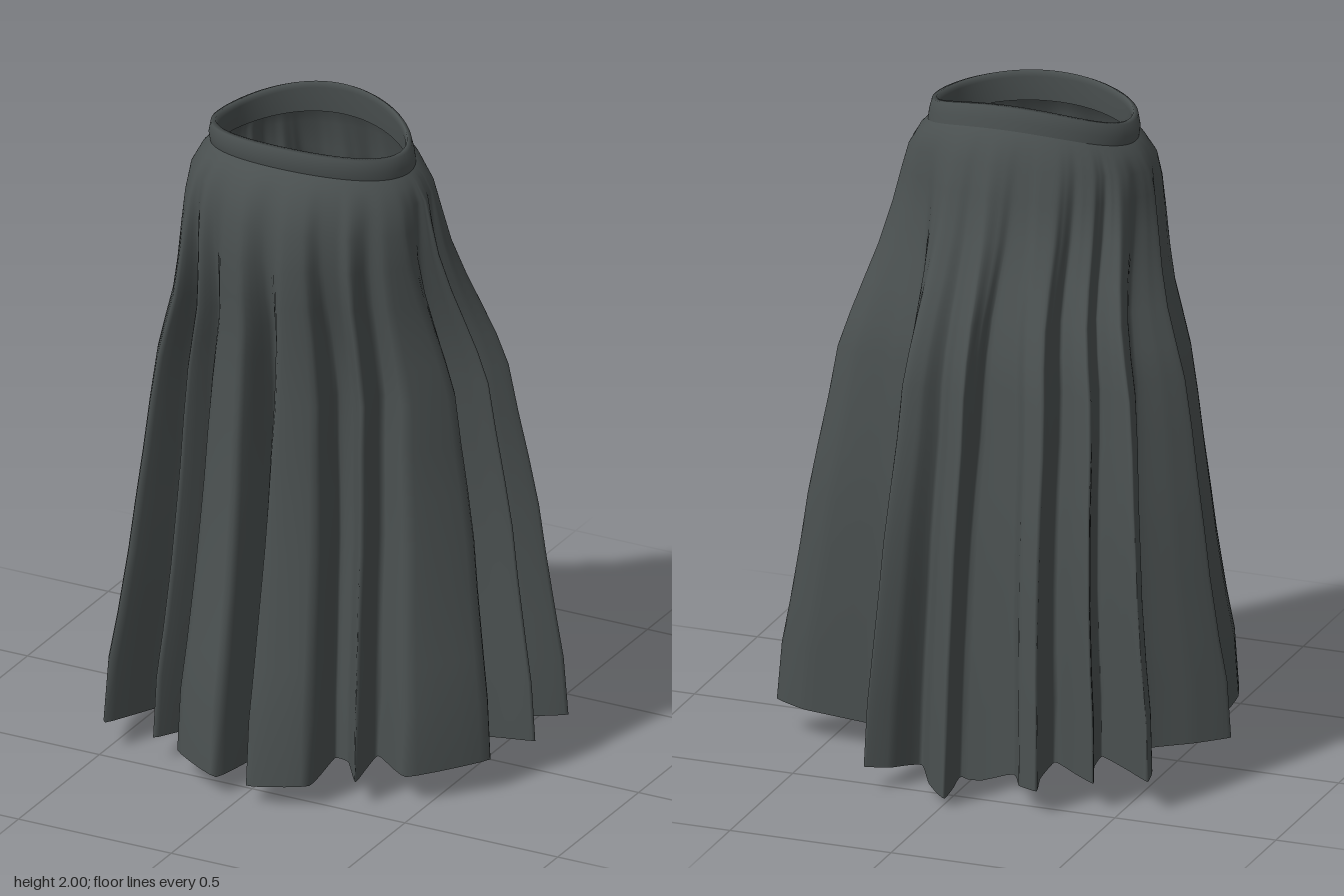
import * as THREE from 'three';

// Hem outline seen from above as x, z pairs: front notch, left side, back, right side
const HEM = [
  -0.02, 0.34, 0.03, 0.595, 0.205, 0.535, 0.18, 0.33,
  0.23, 0.34, 0.32, 0.465, 0.29, 0.27,
  0.44, 0.38, 0.61, 0.18, 0.48, 0.05, 0.36, 0.06,
  0.56, 0.03, 0.67, 0.015, 0.55, -0.05, 0.36, -0.02,
  0.38, -0.08, 0.57, -0.14, 0.67, -0.19, 0.57, -0.23, 0.36, -0.235, 0.22, -0.27,
  0.24, -0.45, 0.26, -0.55, 0.19, -0.51, 0.13, -0.42,
  0.07, -0.52, -0.01, -0.6, 0.01, -0.47, 0.03, -0.36,
  -0.15, -0.41, -0.21, -0.52, -0.28, -0.56, -0.25, -0.45, -0.24, -0.31,
  -0.34, -0.4, -0.42, -0.465, -0.37, -0.33, -0.36, -0.24,
  -0.48, -0.34, -0.57, -0.42, -0.55, -0.33, -0.45, -0.16,
  -0.58, -0.08, -0.67, -0.01, -0.55, -0.02, -0.41, -0.03,
  -0.53, 0.06, -0.575, 0.19, -0.56, 0.33, -0.5, 0.465, -0.39, 0.24,
  -0.34, 0.47, -0.25, 0.31, -0.245, 0.5, -0.07, 0.59,
];

// Rows: height, min x, max x, min z, max z, fold strength
const BAND = [
  [1.84, -0.32, 0.28, -0.11, 0.295, 0],
  [1.91, -0.31, 0.27, -0.1, 0.29, 0],
  [1.93, -0.315, 0.275, -0.103, 0.295, 0],
  [1.925, -0.33, 0.29, -0.112, 0.305, 0],
  [1.89, -0.337, 0.298, -0.12, 0.31, 0],
  [1.865, -0.335, 0.3, -0.124, 0.305, 0],
];
const SKIRT = [
  [1.865, -0.335, 0.3, -0.124, 0.305, 0],
  [1.84, -0.36, 0.325, -0.145, 0.33, 0],
  [1.79, -0.39, 0.357, -0.175, 0.365, 0.03],
  [1.72, -0.405, 0.375, -0.2, 0.39, 0.08],
  [1.62, -0.42, 0.395, -0.235, 0.405, 0.15],
  [1.5, -0.445, 0.42, -0.3, 0.405, 0.25],
  [1.4, -0.47, 0.45, -0.35, 0.405, 0.34],
  [1.3, -0.505, 0.48, -0.4, 0.408, 0.42],
  [1.2, -0.535, 0.51, -0.43, 0.415, 0.49],
  [1.05, -0.56, 0.53, -0.465, 0.43, 0.58],
  [0.9, -0.58, 0.555, -0.5, 0.45, 0.67],
  [0.75, -0.6, 0.58, -0.53, 0.475, 0.75],
  [0.6, -0.615, 0.6, -0.55, 0.505, 0.82],
  [0.4, -0.64, 0.63, -0.575, 0.545, 0.9],
  [0.22, -0.66, 0.655, -0.59, 0.58, 0.96],
  [0, -0.67, 0.67, -0.6, 0.6, 1],
];

// Point on a row's smooth oval; angle 0 faces the front
function oval([, x0, x1, z0, z1], a) {
  return [(x0 + x1) / 2 + Math.sin(a) * (x1 - x0) / 2, (z0 + z1) / 2 + Math.cos(a) * (z1 - z0) / 2];
}

// Sample the hem and give every sample a steadily increasing angle around the body
function sampleHem() {
  const points = [];
  for (let i = 0; i < HEM.length; i += 2) points.push(new THREE.Vector3(HEM[i], 0, HEM[i + 1]));
  const curve = new THREE.CatmullRomCurve3(points, true, 'catmullrom', 0.2);
  const n = points.length * 5, hem = [], raw = [];
  for (let i = 0; i < n; i++) {
    const p = curve.getPoint(i / n);
    let a = Math.atan2(p.x, p.z);
    if (i > 0) a -= Math.round((a - raw[i - 1]) / (2 * Math.PI)) * 2 * Math.PI;
    hem.push(p);
    raw.push(a);
  }
  const angles = raw.map((_, i) => {
    let sum = 0;
    for (let k = -12; k <= 12; k++) {
      const j = i + k, turn = Math.floor(j / n);
      sum += raw[j - turn * n] + turn * 2 * Math.PI;
    }
    return sum / 25;
  }).sort((a, b) => a - b);
  return { hem, angles };
}

// Loft closed rings through the rows
function loft(rows, { hem, angles }) {
  const n = hem.length, pos = [], index = [];
  const bottom = SKIRT[SKIRT.length - 1];
  rows.forEach((row, j) => {
    const w = row[5];
    for (let i = 0; i < n; i++) {
      const a = angles[i], c = Math.cos(a), h = hem[i];
      const [ex, ez] = oval(row, a), [bx, bz] = oval(bottom, a);
      // the waist rises at front and back
      const rise = c * c * (c > 0 ? 0.033 : 0.068) * THREE.MathUtils.smoothstep(row[0], 1.6, 1.92);
      // the hem is uneven and lowest at the back
      const drop = 0.055 + 0.045 * Math.abs(h.x) / 0.67
        - (h.z < 0 ? 0.055 * Math.exp(-((h.x / 0.12) ** 2)) * Math.min(1, 0.22 / Math.abs(h.z + 0.16)) : 0);
      const y = row[0] + rise + Math.max(0, drop) * (1 - THREE.MathUtils.smoothstep(row[0], 0, 0.5));
      pos.push(ex + w * (h.x - bx), y, ez + w * (h.z - bz));
      if (j < rows.length - 1) {
        const p = j * n + i, q = j * n + (i + 1) % n;
        index.push(p, p + n, q, q, p + n, q + n);
      }
    }
  });
  const g = new THREE.BufferGeometry();
  g.setAttribute('position', new THREE.Float32BufferAttribute(pos, 3));
  g.setIndex(index);
  g.computeVertexNormals();
  return g;
}

export function createModel() {
  const group = new THREE.Group();
  group.name = 'pleatedSkirt';
  const cloth = new THREE.MeshStandardMaterial({ color: 0x4a5050, side: THREE.DoubleSide });
  cloth.name = 'charcoalCloth';
  const hem = sampleHem();
  for (const [name, rows] of [['waistband', BAND], ['skirtFolds', SKIRT]]) {
    const mesh = new THREE.Mesh(loft(rows, hem), cloth);
    mesh.name = name;
    group.add(mesh);
  }
  return group;
}
